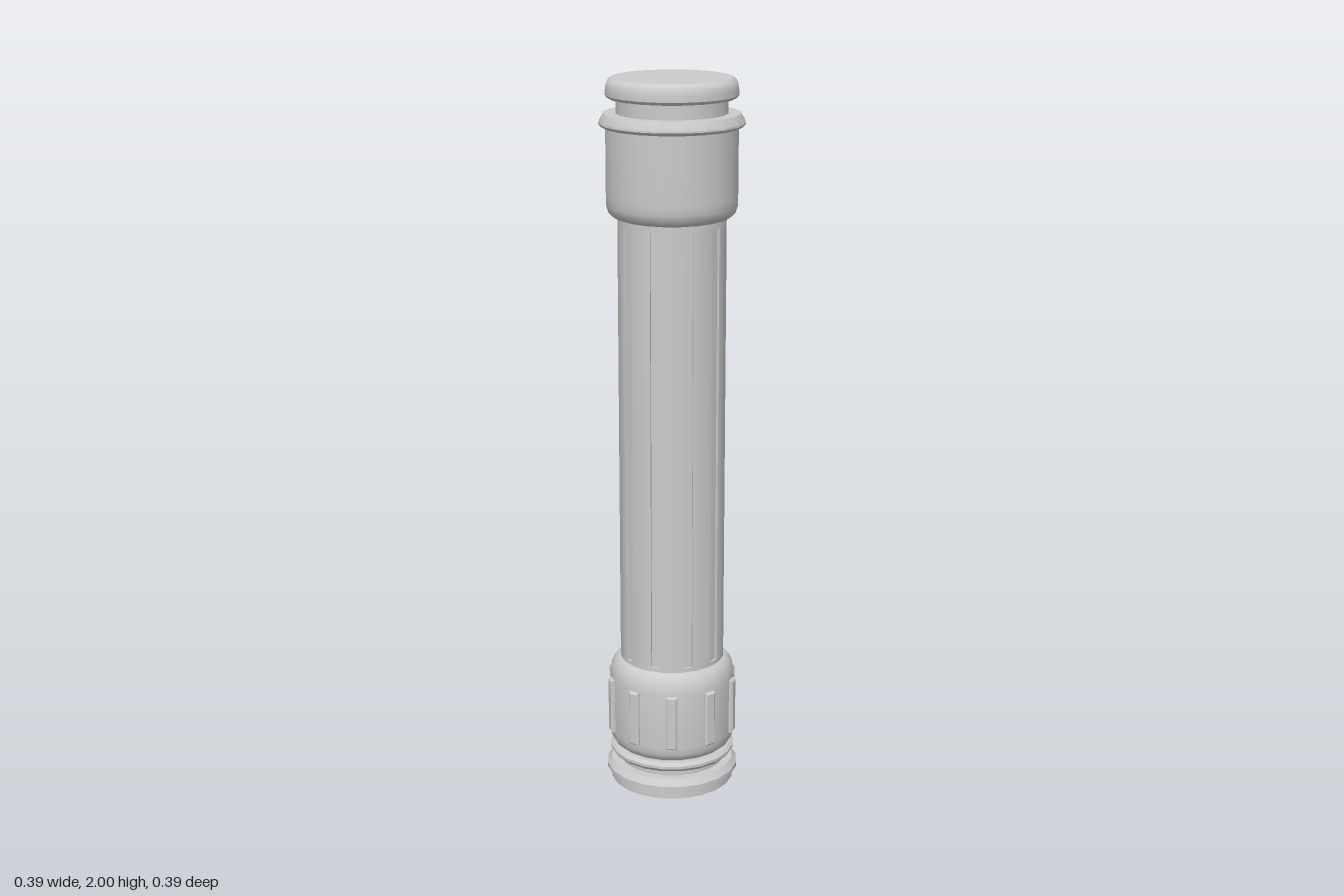
import * as THREE from 'three';
import { toCreasedNormals } from 'three/addons/utils/BufferGeometryUtils.js';

const SIDES = 20;
const STEP = (Math.PI * 2) / SIDES;
const material = new THREE.MeshStandardMaterial({ color: 0xcccccc });

// Turned part from [radius, height] pairs, bottom to top
function turned(name, profile) {
  const points = profile.map(([r, y]) => new THREE.Vector2(r, y));
  const geometry = toCreasedNormals(new THREE.LatheGeometry(points, SIDES), 0.6);
  const mesh = new THREE.Mesh(geometry, material);
  mesh.name = name;
  return mesh;
}

// Shaft section: every second facet carries a shallow inset groove
function groovedSection() {
  const radius = 0.147, depth = 0.006, inset = 0.22;
  const corner = (i) => new THREE.Vector2(Math.sin(i * STEP), -Math.cos(i * STEP)).multiplyScalar(radius);
  const points = [];
  for (let i = 0; i < SIDES; i++) {
    const a = corner(i), b = corner(i + 1);
    points.push(a);
    if (i % 2 === 0) {
      const inward = a.clone().add(b).normalize().multiplyScalar(-depth);
      const p = a.clone().lerp(b, inset), q = a.clone().lerp(b, 1 - inset);
      points.push(p, p.clone().add(inward), q.clone().add(inward), q);
    }
  }
  return new THREE.Shape(points);
}

function createShaft() {
  const group = new THREE.Group();
  group.name = 'shaft';
  const geometry = new THREE.ExtrudeGeometry(groovedSection(), { depth: 1.23, bevelEnabled: false });
  geometry.rotateX(-Math.PI / 2).translate(0, 0.385, 0);
  const core = new THREE.Mesh(toCreasedNormals(geometry, 0.6), material);
  core.name = 'groovedShaft';
  group.add(core);
  // Plain bands closing the grooves at both ends
  for (const [name, y] of [['lowerBand', 0.365], ['upperBand', 1.615]]) {
    group.add(turned(name, [[0, y], [0.147, y], [0.147, y + 0.02], [0, y + 0.02]]));
  }
  return group;
}

// Raised bevelled bars around the lower collar
function createGripBars() {
  const group = new THREE.Group();
  group.name = 'gripBars';
  const w = 0.011, h = 0.075, bevel = 0.005;
  const shape = new THREE.Shape([[-w, -h], [w, -h], [w, h], [-w, h]].map(([x, y]) => new THREE.Vector2(x, y)));
  const geometry = new THREE.ExtrudeGeometry(shape, {
    depth: 0.02, bevelThickness: bevel, bevelSize: bevel, bevelSegments: 1,
  });
  geometry.translate(0, 0.235, 0.161);
  for (let i = 0; i < 10; i++) {
    const bar = new THREE.Mesh(geometry, material);
    bar.name = 'gripBar';
    bar.rotation.y = (2 * i - 0.5) * STEP;
    group.add(bar);
  }
  return group;
}

export function createModel() {
  const model = new THREE.Group();
  model.name = 'column';

  // Base with flange and neck
  model.add(turned('base', [
    [0, 0], [0.175, 0], [0.175, 0.025], [0.187, 0.03], [0.187, 0.042],
    [0.174, 0.06], [0.15, 0.06], [0.15, 0.085], [0, 0.085],
  ]));
  model.add(turned('baseRing', [
    [0, 0.082], [0.168, 0.082], [0.177, 0.092], [0.177, 0.1], [0.168, 0.108], [0.155, 0.108], [0.155, 0.118], [0, 0.118],
  ]));

  // Lower collar with rounded shoulders
  model.add(turned('lowerCollar', [
    [0, 0.113], [0.16, 0.113], [0.169, 0.12], [0.175, 0.135], [0.177, 0.155], [0.177, 0.315],
    [0.174, 0.337], [0.167, 0.355], [0.157, 0.368], [0.145, 0.375], [0, 0.375],
  ]));
  model.add(createGripBars());
  model.add(createShaft());

  // Upper collar, rounded underneath
  model.add(turned('upperCollar', [
    [0, 1.63], [0.145, 1.63], [0.159, 1.635], [0.17, 1.646], [0.176, 1.665], [0.177, 1.69], [0.177, 1.88], [0, 1.88],
  ]));
  model.add(turned('upperFlange', [
    [0, 1.872], [0.187, 1.872], [0.195, 1.88], [0.195, 1.885], [0.182, 1.907], [0, 1.907],
  ]));
  model.add(turned('neck', [[0.149, 1.9], [0.149, 1.955]]));

  // Top cap with softened rim
  model.add(turned('cap', [
    [0, 1.947], [0.17, 1.947], [0.177, 1.955], [0.177, 1.97], [0.175, 1.984], [0.17, 1.993], [0.16, 2], [0, 2],
  ]));
  return model;
}
